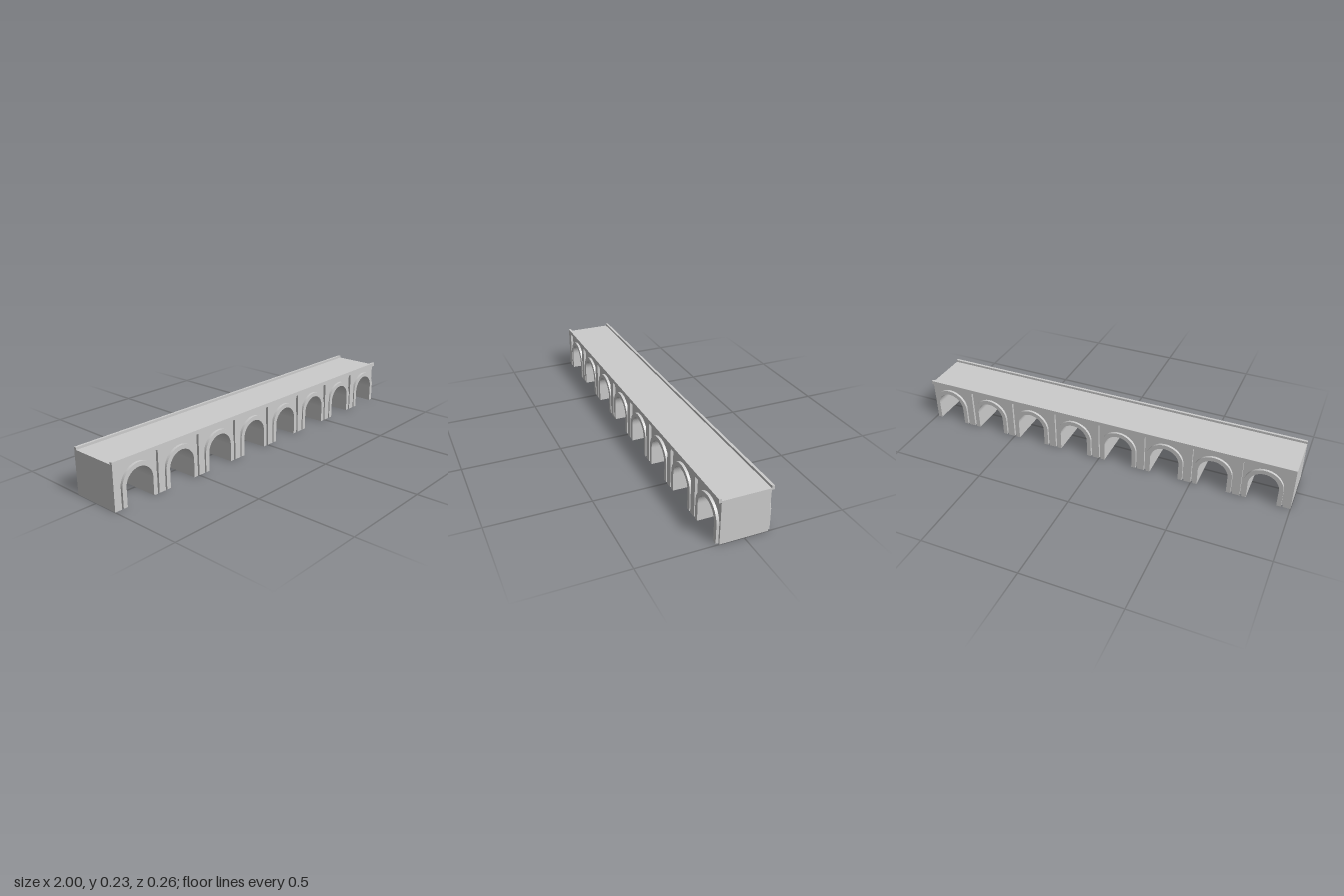
import * as THREE from 'three';

const COUNT = 8, PITCH = 0.25;
const FIRST = -0.857;          // centre of the first bay
const SPRING = 0.091;          // height where the arches start to curve
const R_IN = 0.075, R_OUT = 0.097;
const DECK = 0.218, TOP = 0.23;
const WALL_Z = 0.117, FACE_Z = 0.13;

const centres = Array.from({ length: COUNT }, (_, i) => FIRST + i * PITCH);
const material = new THREE.MeshStandardMaterial({ color: 0xcccccc });

function extrude(shape, depth, z, name) {
  const geometry = new THREE.ExtrudeGeometry(shape, { depth, bevelEnabled: false, curveSegments: 20 });
  geometry.translate(0, 0, z);
  const mesh = new THREE.Mesh(geometry, material);
  mesh.name = name;
  return mesh;
}

// Long wall with arched openings cut up from the ground
function bodyShape() {
  const s = new THREE.Shape();
  s.moveTo(-1, 0);
  for (const x of centres) {
    s.lineTo(x - R_IN, 0);
    s.lineTo(x - R_IN, SPRING);
    s.absarc(x, SPRING, R_IN, Math.PI, 0, true);
    s.lineTo(x + R_IN, 0);
  }
  s.lineTo(1, 0);
  s.lineTo(1, DECK);
  s.lineTo(-1, DECK);
  s.closePath();
  return s;
}

// Pilasters joined by a top band; the last bay runs open to the end
function frameShape() {
  const s = new THREE.Shape();
  const panelTop = 0.21;
  s.moveTo(-1, 0);
  centres.forEach((x, i) => {
    const left = x - 0.106;
    const right = i === COUNT - 1 ? 1 : x + 0.107;
    s.lineTo(left, 0);
    s.lineTo(left, panelTop);
    s.lineTo(right, panelTop);
    if (i < COUNT - 1) s.lineTo(right, 0);
  });
  s.lineTo(1, TOP);
  s.lineTo(-1, TOP);
  s.closePath();
  return s;
}

// Raised surround following one arch, legs down to the ground
function ringShape(x) {
  const s = new THREE.Shape();
  s.moveTo(x - R_OUT, 0);
  s.lineTo(x - R_IN, 0);
  s.lineTo(x - R_IN, SPRING);
  s.absarc(x, SPRING, R_IN, Math.PI, 0, true);
  s.lineTo(x + R_IN, 0);
  s.lineTo(x + R_OUT, 0);
  s.lineTo(x + R_OUT, SPRING);
  s.absarc(x, SPRING, R_OUT, 0, Math.PI, false);
  s.closePath();
  return s;
}

export function createModel() {
  const group = new THREE.Group();
  group.name = 'viaduct';
  group.add(extrude(bodyShape(), 2 * WALL_Z, -WALL_Z, 'archedBody'));

  // Same facing on the front and the back
  const depth = FACE_Z - WALL_Z;
  for (const [side, z] of [['front', WALL_Z], ['back', -FACE_Z]]) {
    const facade = new THREE.Group();
    facade.name = side + 'Facade';
    facade.add(extrude(frameShape(), depth, z, 'pilastersAndParapet'));
    for (const x of centres) facade.add(extrude(ringShape(x), depth, z, 'archSurround'));
    group.add(facade);
  }
  return group;
}
